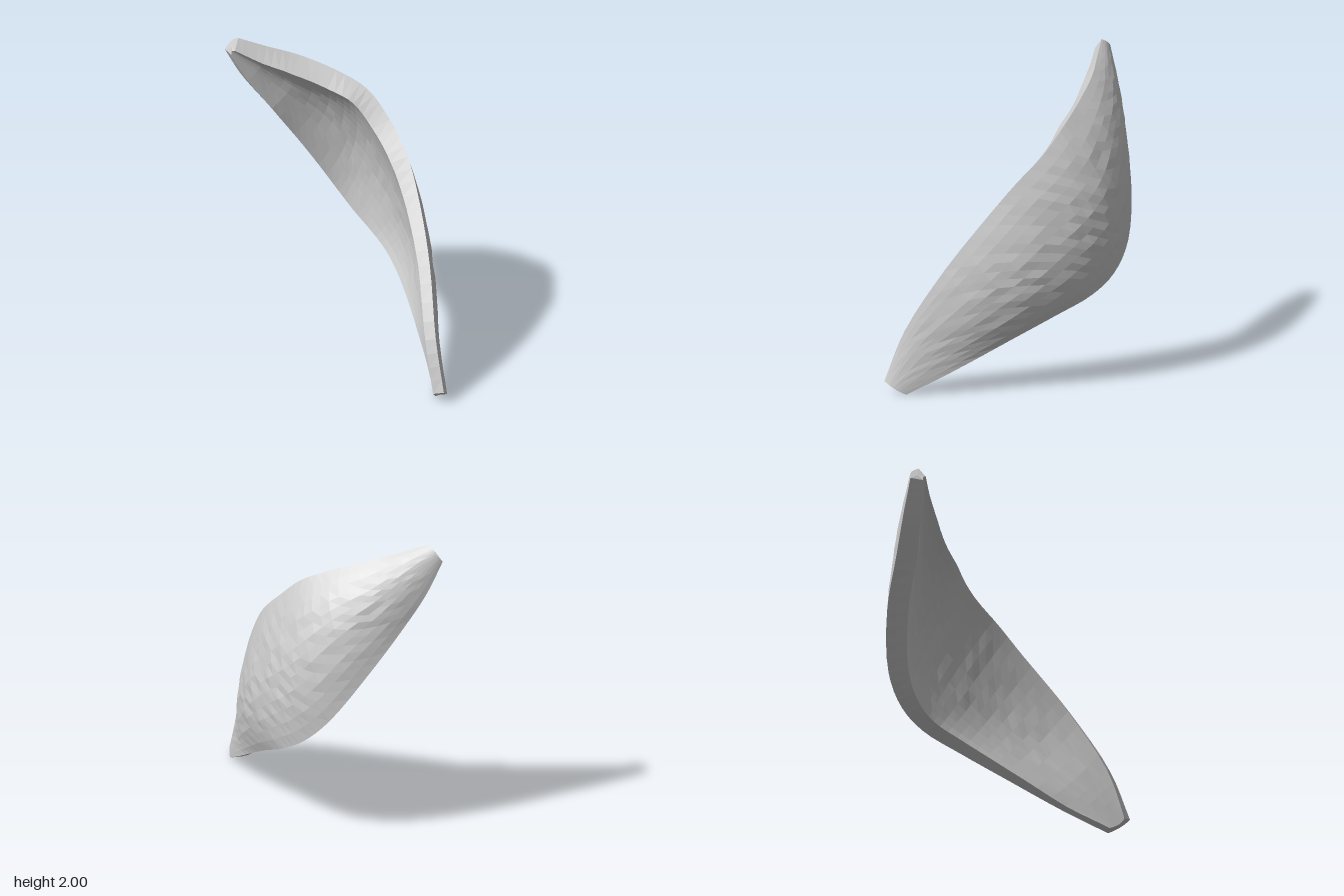
import * as THREE from 'three';

// Stations from the low tip to the high tip: upper edge, middle and lower edge of the outer face
const upper = [[-.26, .08, .92], [-.21, .4, .8], [-.06, .8, .6], [.06, 1.1, .4], [.15, 1.35, .2], [.19, 1.53, 0],
  [.17, 1.69, -.18], [.08, 1.79, -.36], [-.06, 1.88, -.56], [-.2, 1.94, -.7], [-.33, 2, -.83]];
const middle = [[-.2, .04, .89], [-.09, .27, .72], [.13, .55, .45], [.28, .77, .22], [.36, .97, 0], [.39, 1.12, -.2],
  [.36, 1.27, -.37], [.23, 1.49, -.55], [.03, 1.67, -.71], [-.16, 1.83, -.81], [-.33, 1.96, -.89]];
const lower = [[-.15, 0, .83], [0, .14, .59], [.18, .34, .25], [.3, .48, 0], [.38, .6, -.24], [.37, .71, -.42],
  [.3, .88, -.58], [.11, 1.2, -.74], [-.1, 1.48, -.83], [-.25, 1.7, -.89], [-.36, 1.9, -.92]];
const thicknesses = [.075, .07, .075, .09, .115, .125, .13, .135, .135, .115, .085];

const ROWS = 40, COLS = 12;

const curve = (points) => new THREE.CatmullRomCurve3(points.map((p) => new THREE.Vector3(...p)));

// Wall thickness between stations
function thicknessAt(t) {
  const f = t * (thicknesses.length - 1), i = Math.min(Math.floor(f), thicknesses.length - 2);
  return THREE.MathUtils.lerp(thicknesses[i], thicknesses[i + 1], f - i);
}

// Seeded noise for the roughly chiselled facets
function makeNoise(seed) {
  return () => {
    seed = (seed * 16807) % 2147483647;
    return seed / 2147483647 - 0.5;
  };
}

function createShell() {
  const curves = [upper, middle, lower].map(curve);
  const noise = makeNoise(41);

  // Outer face: a parabola through the three guide curves at each station
  const outerPoint = (t, s) => {
    const [u, m, l] = curves.map((c) => c.getPoint(t));
    return u.multiplyScalar((1 - s) * (1 - 2 * s))
      .addScaledVector(m, 4 * s * (1 - s))
      .addScaledVector(l, s * (2 * s - 1));
  };
  const normalAt = (t, s) => {
    const e = 0.01;
    const across = outerPoint(t, s + e).sub(outerPoint(t, s - e));
    const along = outerPoint(Math.min(1, t + e), s).sub(outerPoint(Math.max(0, t - e), s));
    return across.cross(along).normalize();
  };

  const positions = [], index = [], ring = 2 * (COLS + 1);
  const push = (p) => positions.push(p.x, p.y, p.z) / 3 - 1;

  // Closed cross-sections: outer face down, inner face back up
  for (let i = 0; i <= ROWS; i++) {
    const t = i / ROWS;
    const inner = [];
    for (let j = 0; j <= COLS; j++) {
      const s = j / COLS;
      const p = outerPoint(t, s), n = normalAt(t, s);
      const rough = 0.014 * Math.sin(Math.PI * t) * Math.sin(Math.PI * s);
      inner.unshift(p.clone().addScaledVector(n, -thicknessAt(t) + noise() * rough * 0.5));
      push(p.addScaledVector(n, noise() * rough));
    }
    inner.forEach(push);
  }
  for (let i = 0; i < ROWS; i++) {
    for (let j = 0; j < ring; j++) {
      const k = (j + 1) % ring;
      const a = i * ring + j, b = i * ring + k, c = a + ring, d = b + ring;
      index.push(a, b, d, a, d, c);
    }
  }

  // Blunt ends
  for (const row of [0, ROWS]) {
    const centre = new THREE.Vector3();
    for (let j = 0; j < ring; j++) {
      centre.add(new THREE.Vector3().fromArray(positions, (row * ring + j) * 3));
    }
    const c = push(centre.divideScalar(ring));
    for (let j = 0; j < ring; j++) {
      const a = row * ring + j, b = row * ring + ((j + 1) % ring);
      if (row === 0) index.push(c, b, a);
      else index.push(c, a, b);
    }
  }

  const geometry = new THREE.BufferGeometry();
  geometry.setAttribute('position', new THREE.Float32BufferAttribute(positions, 3));
  geometry.setIndex(index);
  geometry.computeVertexNormals();
  return geometry;
}

export function createModel() {
  const group = new THREE.Group();
  group.name = 'curvedShell';
  const paleGrey = new THREE.MeshStandardMaterial({ color: 0xcccccc, flatShading: true });
  paleGrey.name = 'pale grey';
  const shell = new THREE.Mesh(createShell(), paleGrey);
  shell.name = 'shell';
  group.add(shell);
  return group;
}
